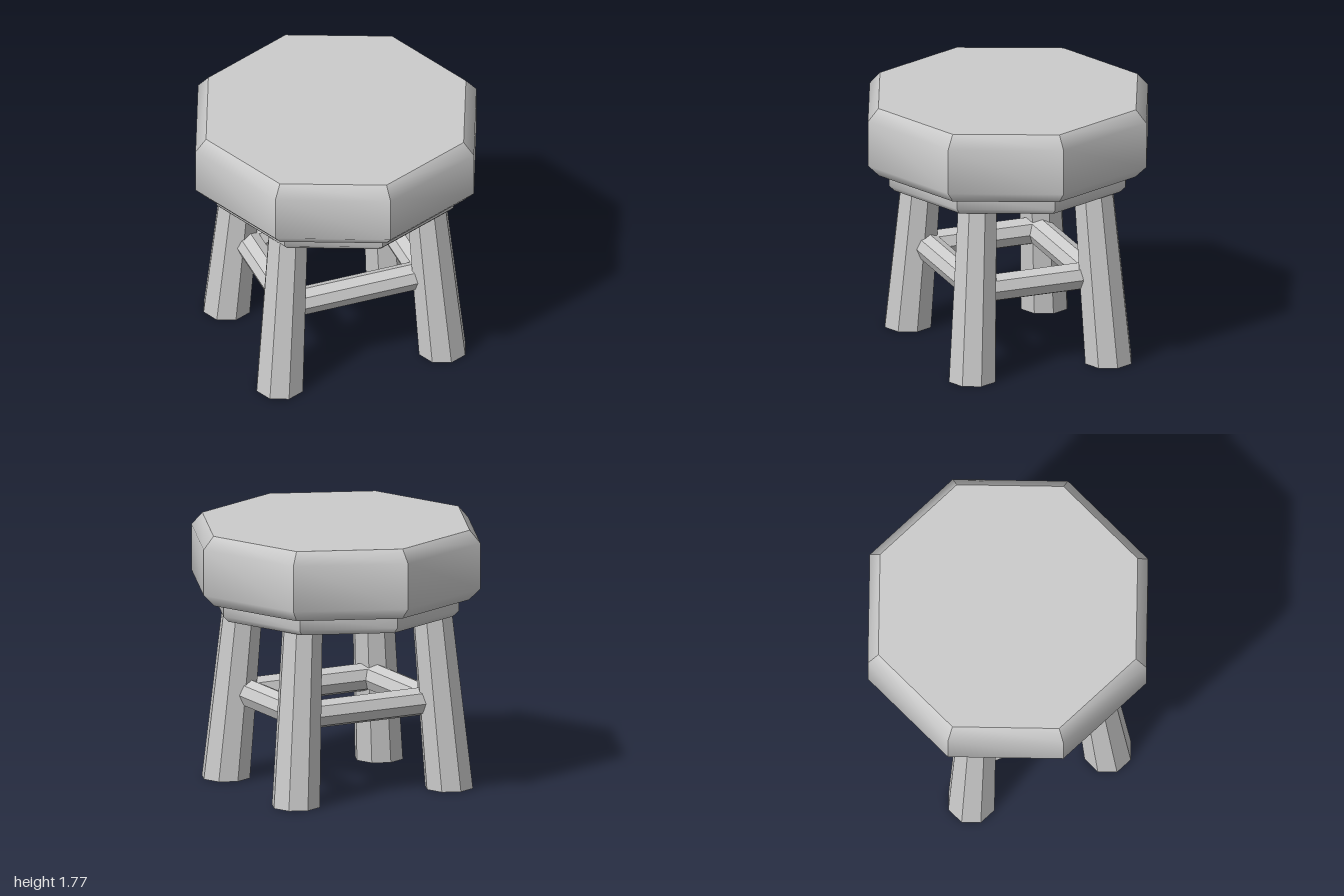
import * as THREE from 'three';
import { mergeGeometries } from 'three/addons/utils/BufferGeometryUtils.js';

const flat = new THREE.MeshStandardMaterial({ color: 0xcccccc, flatShading: true });
const smooth = new THREE.MeshStandardMaterial({ color: 0xcccccc });

function part(name, geometry, material) {
  const mesh = new THREE.Mesh(geometry, material);
  mesh.name = name;
  return mesh;
}

// Octagonal slab: each side is smooth along its profile, with hard edges between sides.
// Profile is [radius, height] from bottom to top.
function octagonSlab(profile) {
  const points = profile.map(([r, y]) => new THREE.Vector2(r, y));
  const pieces = [];
  for (let i = 0; i < 8; i++) {
    const side = new THREE.LatheGeometry(points, 1, i * Math.PI / 4, Math.PI / 4);
    side.computeVertexNormals();
    pieces.push(side);
  }
  const bottom = points[0], top = points[points.length - 1];
  pieces.push(new THREE.CircleGeometry(bottom.x, 8).rotateX(Math.PI / 2).translate(0, bottom.y, 0));
  pieces.push(new THREE.CircleGeometry(top.x, 8).rotateX(-Math.PI / 2).translate(0, top.y, 0));
  return mergeGeometries(pieces);
}

// Tapered octagonal leg, sheared so the foot and the top stay level
function legGeometry(foot, top, height) {
  const g = new THREE.CylinderGeometry(0.137, 0.166, height, 8).translate(0, height / 2, 0);
  const p = g.attributes.position;
  for (let i = 0; i < p.count; i++) {
    const t = p.getY(i) / height;
    p.setX(i, p.getX(i) + foot[0] + (top[0] - foot[0]) * t);
    p.setZ(i, p.getZ(i) + foot[1] + (top[1] - foot[1]) * t);
  }
  return g;
}

export function createModel() {
  const stool = new THREE.Group();
  stool.name = 'stool';

  // Seat and the skirt under it
  stool.add(part('seat', octagonSlab([[0.92, 1.3], [1, 1.38], [1, 1.69], [0.925, 1.775]]), smooth));
  stool.add(part('seatSkirt', octagonSlab([[0.81, 1.18], [0.85, 1.22], [0.85, 1.31]]), smooth));

  // Base, very slightly off centre
  const base = new THREE.Group();
  base.name = 'base';
  base.position.set(-0.008, 0, -0.005);
  stool.add(base);

  // Splayed legs
  for (const [sx, sideName] of [[1, 'Left'], [-1, 'Right']]) {
    for (const [sz, endName] of [[1, 'front'], [-1, 'back']]) {
      const g = legGeometry([sx * 0.578, sz * 0.486], [sx * 0.485, sz * 0.41], 1.25);
      base.add(part(`${endName}${sideName}Leg`, g, flat));
    }
  }

  // Stretchers, set slightly inside the leg centres
  const barX = 0.475, barZ = 0.4, barY = 0.585, barRadius = 0.095;
  for (const s of [1, -1]) {
    const across = new THREE.CylinderGeometry(barRadius, barRadius, 1.05, 8)
      .rotateZ(Math.PI / 2).translate(0, barY, s * barZ);
    base.add(part(s > 0 ? 'frontStretcher' : 'backStretcher', across, flat));
    const along = new THREE.CylinderGeometry(barRadius, barRadius, 0.9, 8)
      .rotateX(Math.PI / 2).translate(s * barX, barY, 0);
    base.add(part(s > 0 ? 'leftStretcher' : 'rightStretcher', along, flat));
  }
  return stool;
}
